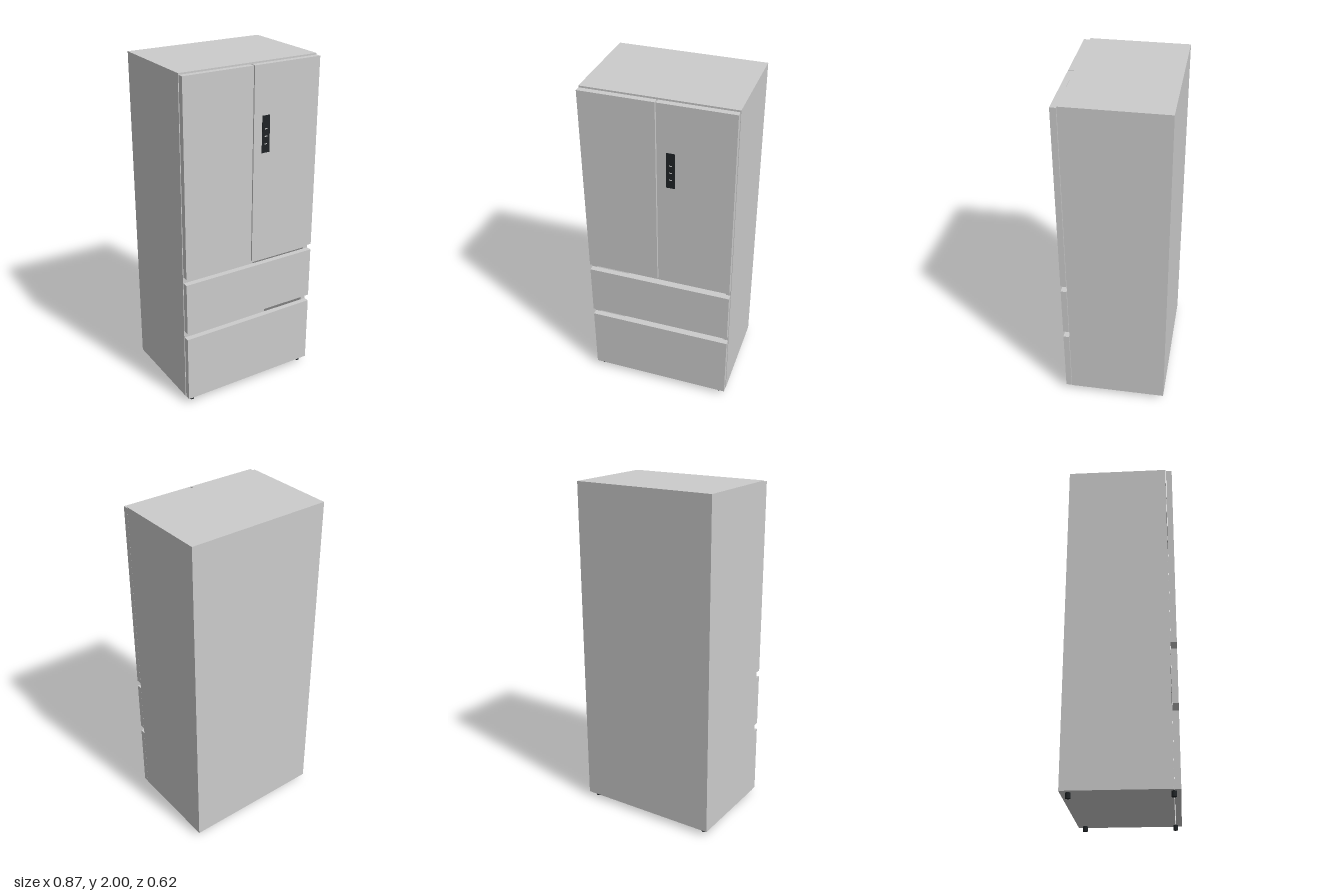
import * as THREE from 'three';

const grey = new THREE.MeshStandardMaterial({ color: 0xcccccc });
const black = new THREE.MeshStandardMaterial({ color: 0x1f2326 });

export function createModel() {
  const model = new THREE.Group();
  model.name = 'refrigerator';

  // Box given by its minimum and maximum on each axis
  const box = (name, [x0, x1], [y0, y1], [z0, z1], material = grey) => {
    const mesh = new THREE.Mesh(new THREE.BoxGeometry(x1 - x0, y1 - y0, z1 - z0), material);
    mesh.position.set((x0 + x1) / 2, (y0 + y1) / 2, (z0 + z1) / 2);
    mesh.name = name;
    model.add(mesh);
    return mesh;
  };

  const W = 0.434, T = 0.03, IN = W - T;
  const BOTTOM = 0.03, TOP = 2;
  const depth = [-0.281, 0.271];
  const inner = [-IN, IN];

  // Hollow cabinet
  box('backPanel', [-W, W], [BOTTOM, TOP], [-0.311, -0.281]);
  box('leftWall', [IN, W], [BOTTOM, TOP], depth);
  box('rightWall', [-W, -IN], [BOTTOM, TOP], depth);
  box('topPanel', inner, [TOP - T, TOP], depth);
  box('bottomPanel', inner, [BOTTOM, BOTTOM + T], depth);
  box('divider', inner, [0.81, 0.84], depth);
  box('compressorHousing', inner, [BOTTOM + T, 0.36], [-0.281, -0.125]);

  // Interior shelves
  for (const y of [1.18, 1.555]) box('shelf', inner, [y - 0.005, y + 0.005], [-0.281, 0.22]);

  // Doors and drawer fronts
  const front = [0.275, 0.309];
  box('leftDoor', [0.003, 0.432], [0.843, 1.992], front);
  box('rightDoor', [-0.432, -0.003], [0.843, 1.992], front);
  box('upperDrawerFront', [-0.432, 0.432], [0.488, 0.805], front);
  box('lowerDrawerFront', [-0.432, 0.432], [0.03, 0.447], front);

  // Control panel with indicator bars
  box('controlPanel', [0.056, 0.106], [1.497, 1.711], [0.305, 0.311], black);
  for (const y of [1.635, 1.592, 1.548]) {
    box('indicator', [0.073, 0.09], [y - 0.003, y + 0.003], [0.309, 0.3115]);
  }

  // Feet
  const footGeometry = new THREE.CylinderGeometry(0.014, 0.014, 0.03, 20);
  for (const x of [-0.393, 0.393]) {
    for (const z of [-0.267, 0.272]) {
      const foot = new THREE.Mesh(footGeometry, black);
      foot.name = 'foot';
      foot.position.set(x, 0.015, z);
      model.add(foot);
    }
  }

  return model;
}
